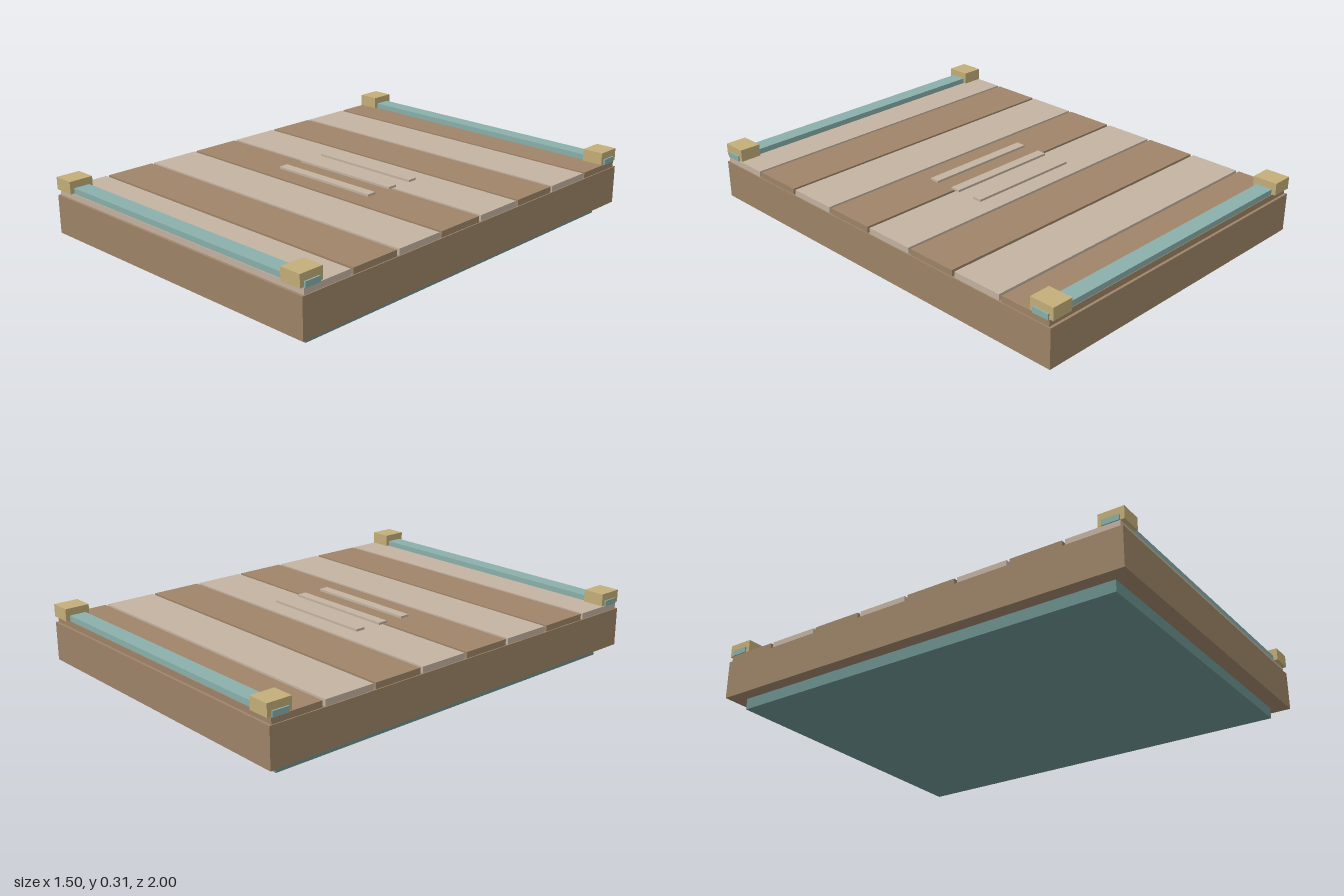
import * as THREE from 'three';

const material = (name, color) => {
  const m = new THREE.MeshStandardMaterial({ color });
  m.name = name;
  return m;
};

export function createModel() {
  const group = new THREE.Group();
  const brown = material('brownWood', 0x9e8468);
  const pale = material('paleWood', 0xc4b3a2);
  const teal = material('baseTeal', 0x6b918e);
  const lightTeal = material('railTeal', 0x8ab0ab);
  const brass = material('brass', 0xc4af7a);

  // Box given by its width, y range, depth and centre
  const box = (name, mat, w, y0, y1, d, x = 0, z = 0) => {
    const mesh = new THREE.Mesh(new THREE.BoxGeometry(w, y1 - y0, d), mat);
    mesh.name = name;
    mesh.position.set(x, (y0 + y1) / 2, z);
    group.add(mesh);
  };

  // Recessed base and main slab
  box('base', teal, 1.38, 0, 0.05, 1.85);
  box('slab', brown, 1.5, 0.05, 0.223, 1.99);

  // Eight deck planks in alternating woods, with narrow gaps
  for (let i = 0; i < 8; i++) {
    box('plank', i % 2 ? pale : brown, 1.49, 0.223, 0.25, 0.234, 0, (i - 3.5) * 0.2475);
  }

  // Three thin slats at the middle of the deck
  for (const z of [-0.13, 0, 0.13]) {
    box('centreSlat', pale, 0.54, 0.25, 0.26, 0.045, 0, z - 0.003);
  }

  // End rails and corner blocks
  for (const s of [-1, 1]) {
    box('endRail', lightTeal, 1.5, 0.25, 0.275, 0.075, 0, s * 0.943);
    for (const t of [-1, 1]) {
      box('cornerBlock', brass, 0.098, 0.252, 0.307, 0.112, t * 0.694, s * 0.944);
    }
  }
  return group;
}
